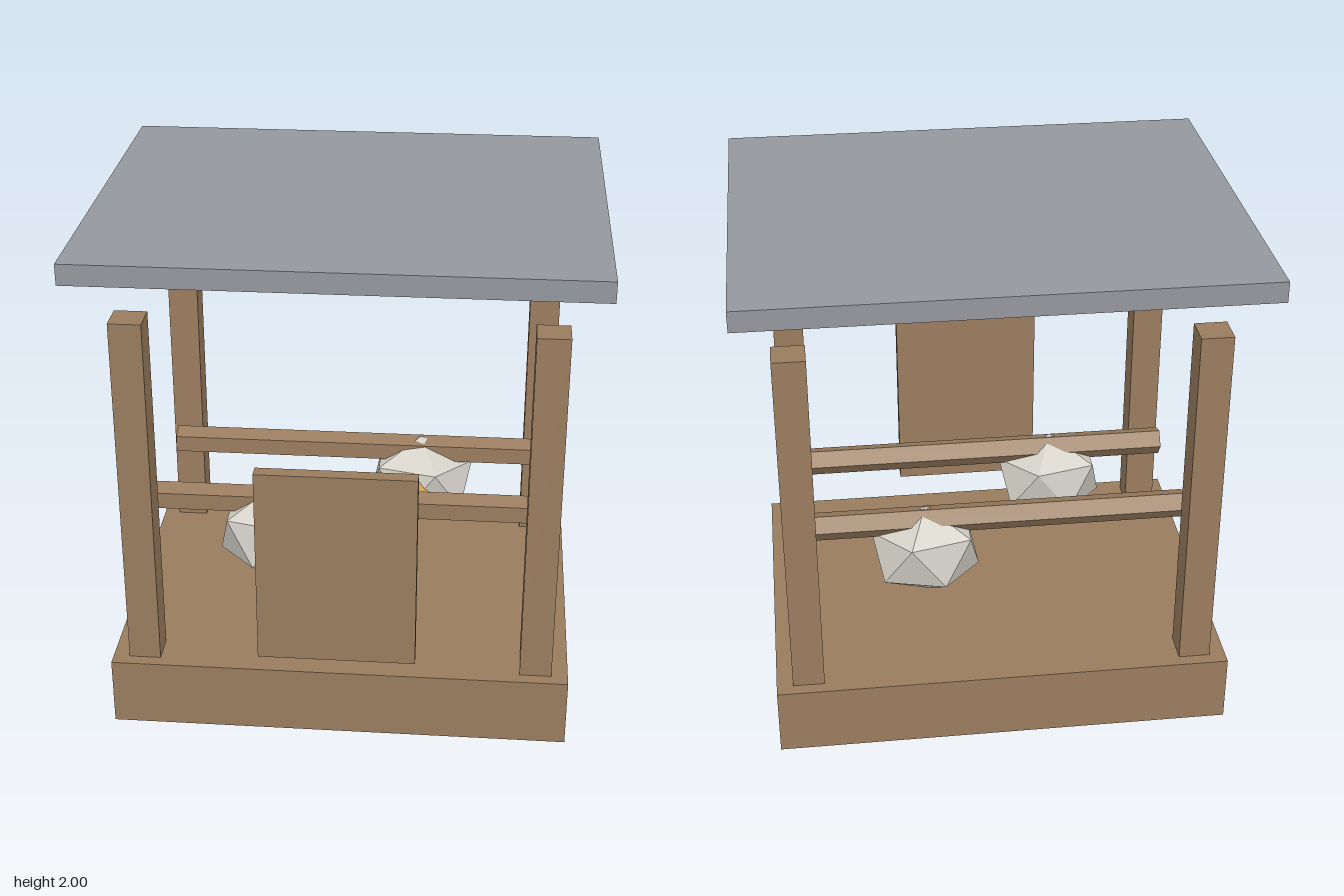
import * as THREE from 'three';
import { ConvexGeometry } from 'three/addons/geometries/ConvexGeometry.js';

const material = (name, color) => {
  const m = new THREE.MeshStandardMaterial({ color, flatShading: true });
  m.name = name;
  return m;
};

// Twelve-point faceted ball standing on a vertex
function facetedBall(rx, ry, rz) {
  const h = 1 / Math.sqrt(5), r = 2 * h;
  const points = [new THREE.Vector3(0, ry, 0), new THREE.Vector3(0, -ry, 0)];
  for (let i = 0; i < 5; i++) {
    const a = (i * Math.PI * 2) / 5;
    for (const s of [1, -1]) {
      points.push(new THREE.Vector3(s * r * Math.cos(a) * rx, s * h * ry, r * Math.sin(a) * rz));
    }
  }
  return new ConvexGeometry(points);
}

export function createModel() {
  const model = new THREE.Group();
  model.name = 'birdShelter';
  const wood = material('wood', 0x997c5e);
  const slate = material('slate grey', 0x94979c);
  const feathers = material('pale feathers', 0xd2cfc6);
  const horn = material('yellow beak', 0xd9a557);

  const add = (parent, name, geometry, mat, x, y, z) => {
    const mesh = new THREE.Mesh(geometry, mat);
    mesh.name = name;
    mesh.position.set(x, y, z);
    parent.add(mesh);
    return mesh;
  };
  const box = (name, w, h, d, mat, x, y, z) =>
    add(model, name, new THREE.BoxGeometry(w, h, d), mat, x, y, z);

  // Floor, floating roof and front panel
  box('base', 1.794, 0.275, 1.38, wood, 0, 0.1375, 0);
  box('roof', 1.93, 0.08, 1.6, slate, 0, 1.96, 0);
  box('frontPanel', 0.608, 0.8, 0.055, wood, 0, 0.775, 0.718);

  // Corner posts
  for (const sx of [-1, 1]) {
    for (const sz of [-1, 1]) {
      box('post', 0.124, 1.437, 0.125, wood, sx * 0.771, 0.9925, sz * 0.5775);
    }
  }

  // Five-sided perches, flat side to the front
  const perch = new THREE.CylinderGeometry(0.058, 0.058, 1.55, 5)
    .rotateY(Math.PI).rotateZ(Math.PI / 2);
  for (const z of [0.219, -0.279]) add(model, 'perch', perch, wood, 0, 0.776, z);

  // Roosting birds, each with a four-sided beak
  const body = facetedBall(0.24, 0.198, 0.187);
  const beak = new THREE.ConeGeometry(0.075, 0.2, 4).rotateX(Math.PI / 2);
  for (const [x, z] of [[-0.303, 0.2225], [0.272, -0.2755]]) {
    const bird = new THREE.Group();
    bird.name = 'bird';
    bird.position.set(x, 0.638, z);
    add(bird, 'body', body, feathers, 0, 0, 0);
    add(bird, 'beak', beak, horn, 0, 0, 0.2);
    model.add(bird);
  }
  return model;
}
